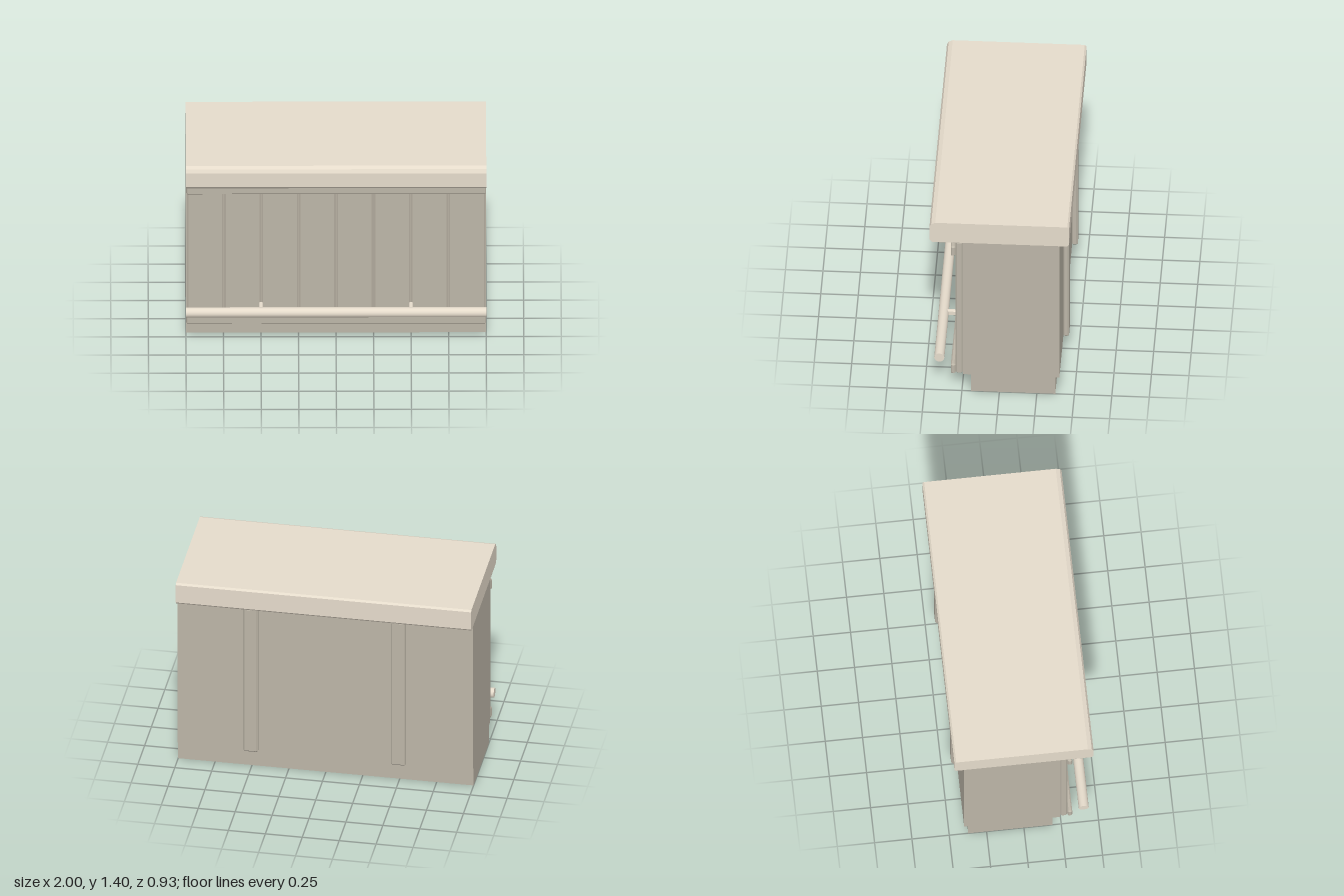
import * as THREE from 'three';
import { ConvexGeometry } from 'three/addons/geometries/ConvexGeometry.js';

export function createModel() {
  const group = new THREE.Group();
  const lightWood = new THREE.MeshStandardMaterial({ color: 0xe5dbcb });
  lightWood.name = 'lightWood';
  const darkWood = new THREE.MeshStandardMaterial({ color: 0xbcb5a7 });
  darkWood.name = 'darkWood';
  const darkBase = new THREE.MeshStandardMaterial({ color: 0x585651 });
  darkBase.name = 'darkBase';

  function add(name, geometry, material, x = 0, y = 0, z = 0) {
    const mesh = new THREE.Mesh(geometry, material);
    mesh.name = name;
    mesh.position.set(x, y, z);
    group.add(mesh);
  }

  // Full-width box spanning the given y and z ranges
  function block(name, y0, y1, z0, z1, material) {
    add(name, new THREE.BoxGeometry(2, y1 - y0, z1 - z0), material, 0, (y0 + y1) / 2, (z0 + z1) / 2);
  }

  // Box with every edge cut by a flat chamfer
  function chamferBox(w, h, d, c) {
    const points = [];
    for (const sx of [-1, 1]) for (const sy of [-1, 1]) for (const sz of [-1, 1]) {
      const x = w / 2, y = h / 2, z = d / 2;
      points.push(
        new THREE.Vector3(sx * x, sy * (y - c), sz * (z - c)),
        new THREE.Vector3(sx * (x - c), sy * y, sz * (z - c)),
        new THREE.Vector3(sx * (x - c), sy * (y - c), sz * z));
    }
    return new ConvexGeometry(points);
  }

  // Cabinet and recessed plinth, dark on their undersides
  const bodyFaces = [darkWood, darkWood, darkWood, darkBase, darkWood, darkWood];
  block('plinth', 0, 0.14, -0.373, 0.19, bodyFaces);
  block('cabinet', 0.138, 1.239, -0.4, 0.243, bodyFaces);

  // Countertop profile (z, y) with a softened front edge
  const profile = new THREE.Shape([
    [-0.45, 1.24], [0.448, 1.24], [0.467, 1.26], [0.467, 1.362], [0.455, 1.388],
    [0.428, 1.4], [-0.453, 1.4], [-0.465, 1.388], [-0.465, 1.255],
  ].map(([z, y]) => new THREE.Vector2(z, y)));
  const top = new THREE.ExtrudeGeometry(profile, { depth: 2, bevelEnabled: false });
  top.rotateY(-Math.PI / 2).translate(1, 0, 0);
  add('countertop', top, lightWood);
  block('countertopUnderside', 1.238, 1.24, -0.449, 0.447, darkWood);

  // Front planks
  const pitch = 0.249;
  for (let i = 0; i < 8; i++) {
    add('frontPlank', chamferBox(0.246, 1.103, 0.05, 0.011), darkWood, (i - 3.5) * pitch, 0.688, 0.268);
  }

  // Horizontal trims across the planks
  for (const y of [0.176, 1.162]) {
    add('frontTrim', chamferBox(1.996, 0.079, 0.032, 0.008), darkWood, 0, y, 0.309);
  }

  // Foot rail with its brackets, and back battens
  const rail = new THREE.CylinderGeometry(0.034, 0.034, 2, 16).rotateZ(Math.PI / 2);
  add('footRail', rail, lightWood, 0, 0.27, 0.401);
  for (const x of [-0.5, 0.5]) {
    add('railBracket', chamferBox(0.026, 0.04, 0.1, 0.006), lightWood, x, 0.27, 0.34);
    add('backBatten', chamferBox(0.1, 1.103, 0.04, 0.01), darkWood, x, 0.688, -0.418);
  }

  return group;
}
